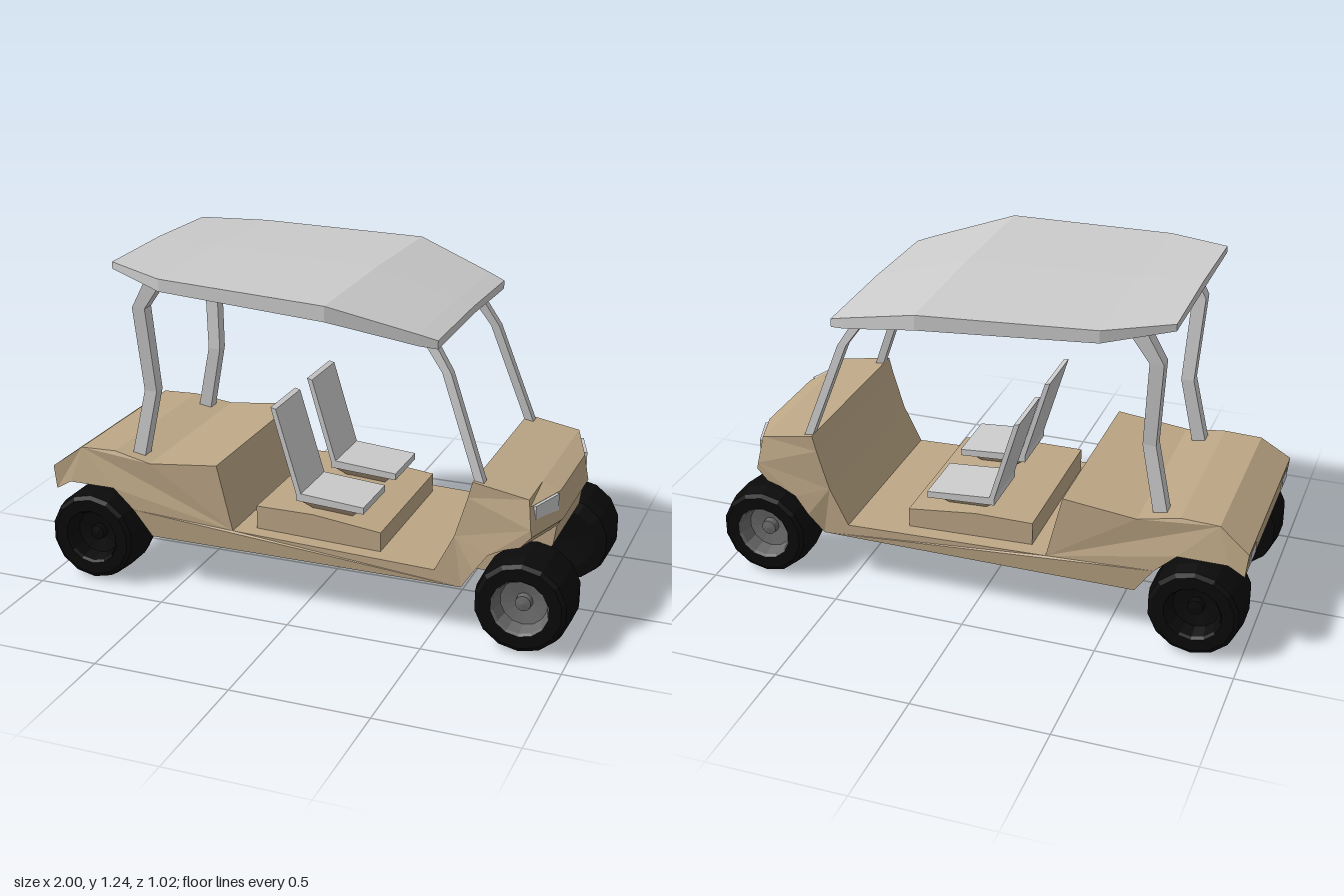
import * as THREE from 'three';

const mat = (color) => new THREE.MeshStandardMaterial({ color, flatShading: true, side: THREE.DoubleSide });
const paint = mat(0xbda786), grey = mat(0xcccccc), black = mat(0x0a0a0a), steel = mat(0x6a6a6a);

function add(parent, name, geometry, material) {
  const mesh = new THREE.Mesh(geometry, material);
  mesh.name = name;
  parent.add(mesh);
  return mesh;
}

// Side profile (x, y) extruded across z
function slab(profile, z0, z1, steps = 1) {
  const shape = new THREE.Shape(profile.map(([x, y]) => new THREE.Vector2(x, y)));
  return new THREE.ExtrudeGeometry(shape, { depth: z1 - z0, steps, bevelEnabled: false }).translate(0, 0, z0);
}

// Skin over closed rings of [x, y, z], capped at both ends
function loft(rings) {
  const out = [], n = rings[0].length;
  const tri = (...pts) => pts.forEach((p) => out.push(...p));
  for (let i = 0; i < rings.length - 1; i++) {
    for (let j = 0; j < n; j++) {
      const k = (j + 1) % n;
      const a = rings[i][j], b = rings[i + 1][j], c = rings[i + 1][k], d = rings[i][k];
      tri(a, b, c);
      tri(a, c, d);
    }
  }
  const mean = (r) => [0, 1, 2].map((m) => r.reduce((s, p) => s + p[m], 0) / n);
  const first = rings[0], last = rings[rings.length - 1], m0 = mean(first), m1 = mean(last);
  for (let j = 0; j < n; j++) {
    const k = (j + 1) % n;
    tri(m0, first[j], first[k]);
    tri(m1, last[k], last[j]);
  }
  const g = new THREE.BufferGeometry();
  g.setAttribute('position', new THREE.Float32BufferAttribute(out, 3));
  g.computeVertexNormals();
  return g;
}

// Horizontal rectangle used for posts and pedestals
const rect = (x, y, z, hx, hz) => [[x + hx, y, z - hz], [x + hx, y, z + hz], [x - hx, y, z + hz], [x - hx, y, z - hz]];

// Body shell with wheel arches, widened at the fenders and rounded at the nose
function bodyShell() {
  const g = slab([
    [-0.99, 0.33], [-0.93, 0.365], [-0.75, 0.365], [-0.67, 0.29], [-0.6, 0.19],
    [0.6, 0.19], [0.65, 0.27], [0.7, 0.34], [0.76, 0.37], [0.87, 0.385],
    [0.91, 0.43], [0.905, 0.455], [0.895, 0.53], [0.83, 0.555], [0.63, 0.59],
    [0.615, 0.53], [0.57, 0.38], [0.5, 0.24], [-0.27, 0.265], [-0.33, 0.51],
    [-0.6, 0.48], [-0.75, 0.505], [-0.89, 0.5], [-1, 0.42],
  ], -0.36, 0.36, 4);
  const p = g.attributes.position;
  for (let i = 0; i < p.count; i++) {
    const x = p.getX(i), y = p.getY(i), z = p.getZ(i);
    let w = 0.36;
    if (x > 0.64 && y < 0.5) w = 0.385;
    if (x < -0.65) w = y > 0.46 ? 0.345 : 0.37;
    p.setZ(i, (z * w) / 0.36);
    if (x > 0.84 && Math.abs(z) > 0.3) p.setX(i, x - 0.06);
  }
  g.computeVertexNormals();
  return g;
}

// Canopy: stations of x, half width, top, edge underside, inner underside, centre underside
function canopy() {
  const stations = [
    [-0.71, 0.37, 1.235, 1.21, 1.21, 1.21],
    [-0.48, 0.47, 1.22, 1.175, 1.18, 1.185],
    [0.15, 0.51, 1.2, 1.145, 1.15, 1.155],
    [0.45, 0.42, 1.11, 1.07, 1.035, 1.09],
    [0.51, 0.4, 1.09, 1.06, 1.062, 1.07],
  ];
  return loft(stations.map(([x, w, top, edge, inner, mid]) => [
    [x, edge, w], [x, top, w], [x, top + 0.008, 0], [x, top, -w],
    [x, edge, -w], [x, inner, -0.29], [x, mid, 0], [x, inner, 0.29],
  ]));
}

function wheel(name, hubMaterial) {
  const g = new THREE.Group();
  g.name = name;
  const lathe = (pts) => new THREE.LatheGeometry(pts.map(([r, h]) => new THREE.Vector2(r, h)), 14).rotateX(Math.PI / 2);
  add(g, 'tire', lathe([[0, -0.1], [0.12, -0.11], [0.165, -0.1], [0.174, -0.05], [0.174, 0.05], [0.165, 0.1], [0.15, 0.11], [0.105, 0.11]]), black);
  add(g, 'rim', lathe([[0.108, 0.11], [0.098, 0.1], [0.085, 0.05], [0.03, 0.04], [0.028, 0.065], [0, 0.07]]), hubMaterial);
  return g;
}

export function createModel() {
  const cart = new THREE.Group();
  cart.name = 'golfCart';

  // Body
  add(cart, 'bodyShell', bodyShell(), paint);
  add(cart, 'frontUnderbody', slab([[0.55, 0.19], [0.8, 0.19], [0.88, 0.33], [0.89, 0.4], [0.6, 0.42]], -0.195, 0.195), paint);
  add(cart, 'rearUnderbody', slab([[-0.55, 0.19], [-0.84, 0.2], [-0.94, 0.28], [-0.99, 0.36], [-0.6, 0.4]], -0.195, 0.195), paint);
  add(cart, 'seatPlatform', slab([[-0.2, 0.25], [0.28, 0.24], [0.28, 0.32], [0.02, 0.35], [-0.2, 0.35]], -0.3, 0.3), paint);

  // Roof
  add(cart, 'roof', canopy(), grey);

  for (const s of [-1, 1]) {
    // Roof posts
    add(cart, 'rearPost', loft([
      rect(-0.675, 0.46, s * 0.285, 0.026, 0.024), rect(-0.617, 0.74, s * 0.272, 0.024, 0.024),
      rect(-0.638, 1.06, s * 0.3, 0.025, 0.026), rect(-0.56, 1.185, s * 0.305, 0.035, 0.028),
    ]), grey);
    add(cart, 'frontPost', loft([
      rect(0.655, 0.57, s * 0.328, 0.016, 0.018), rect(0.515, 0.95, s * 0.295, 0.016, 0.018),
      rect(0.45, 1.045, s * 0.285, 0.02, 0.018),
    ]), grey);

    // Seats
    const zc = s * 0.173, z0 = zc - 0.115, z1 = zc + 0.115;
    add(cart, 'seatPedestal', loft([rect(0.08, 0.33, zc, 0.06, 0.05), rect(0.08, 0.39, zc, 0.125, 0.105)]), paint);
    add(cart, 'seatCushion', slab([[-0.05, 0.39], [0.21, 0.375], [0.21, 0.4], [-0.05, 0.42]], z0, z1), grey);
    add(cart, 'seatBack', slab([[-0.045, 0.4], [-0.025, 0.4], [-0.125, 0.73], [-0.145, 0.735]], z0, z1), grey);

    // Lamps
    const head = add(cart, 'headlight', new THREE.BoxGeometry(0.02, 0.07, 0.145), grey);
    head.position.set(0.865, 0.494, s * 0.275);
    head.rotation.y = -s * 0.32;
    const tail = add(cart, 'tailLight', new THREE.BoxGeometry(0.01, 0.04, 0.09), grey);
    tail.position.set(-0.994, 0.38, s * 0.28);

    // Wheels
    for (const [name, x, hub] of [['frontWheel', 0.826, steel], ['rearWheel', -0.826, black]]) {
      const w = wheel(name, hub);
      w.position.set(x, 0.174, s * 0.31);
      if (s < 0) w.rotation.y = Math.PI;
      cart.add(w);
    }
  }
  return cart;
}
